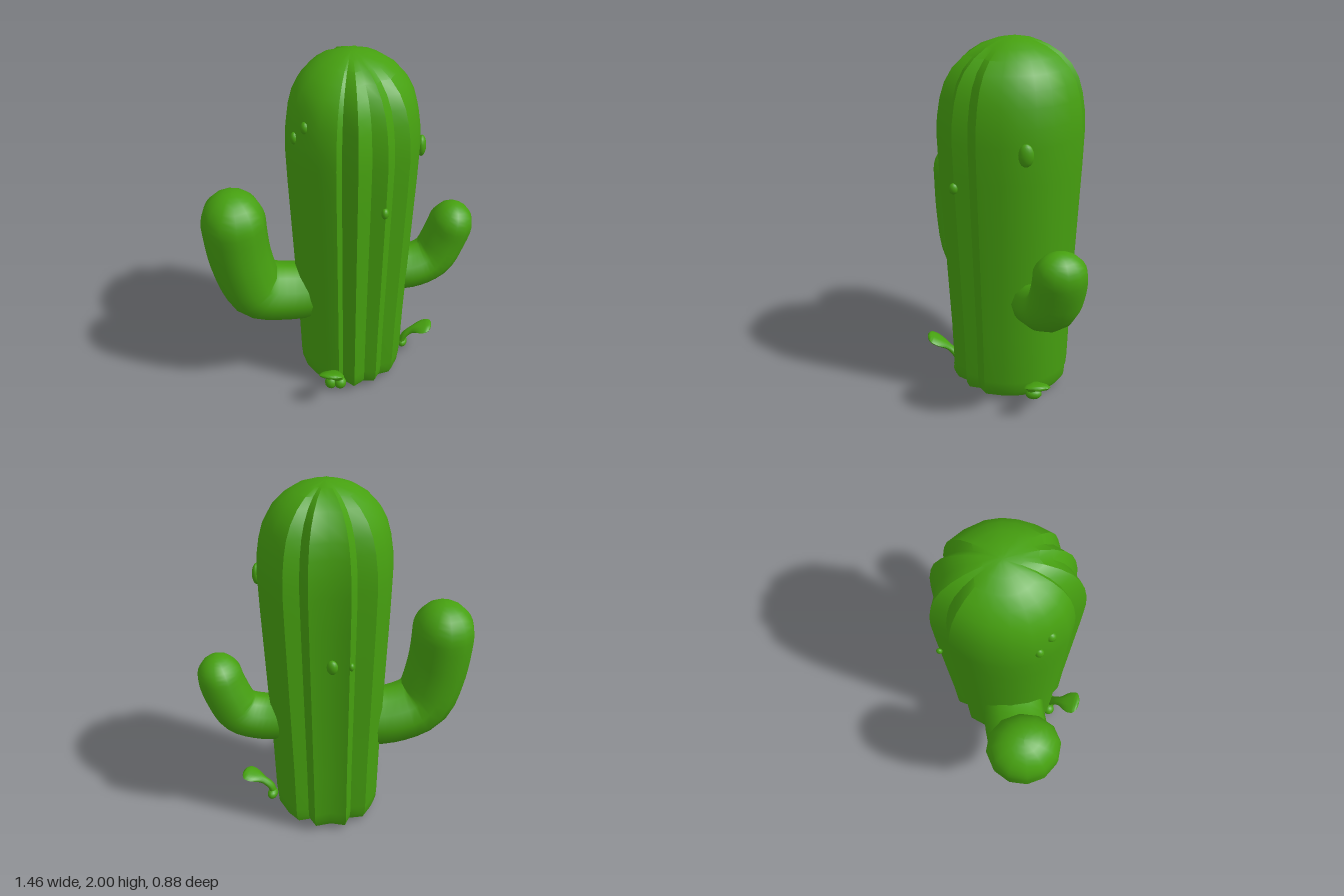
import * as THREE from 'three';
import { toCreasedNormals } from 'three/addons/utils/BufferGeometryUtils.js';

const V = (x, y, z) => new THREE.Vector3(x, y, z);

// Skin a stack of closed rings and close both ends
function loft(rings, crease) {
  const n = rings[0].length, last = rings.length - 1;
  const pos = [], index = [];
  rings.forEach(r => r.forEach(p => pos.push(p.x, p.y, p.z)));
  for (const r of [rings[0], rings[last]]) {
    const c = r.reduce((s, p) => s.add(p), V(0, 0, 0)).divideScalar(n);
    pos.push(c.x, c.y, c.z);
  }
  const bottom = n * (last + 1), top = bottom + 1;
  for (let j = 0; j < n; j++) {
    const k = (j + 1) % n;
    for (let i = 0; i < last; i++) {
      const a = i * n + j, b = i * n + k;
      index.push(a, b, a + n, b, b + n, a + n);
    }
    index.push(bottom, k, j, top, last * n + j, last * n + k);
  }
  const g = new THREE.BufferGeometry();
  g.setAttribute('position', new THREE.Float32BufferAttribute(pos, 3));
  g.setIndex(index);
  return toCreasedNormals(g, crease);
}

// Round-ended limb along a path; width(u) is sideways, depth(u) is in the plane of the bend
function limb(points, side, width, depth, tip, sides) {
  const curve = new THREE.CatmullRomCurve3(points.map(p => V(...p)));
  const start = 1 - tip / curve.getLength();
  const stations = [];
  for (let i = 0; i < 16; i++) stations.push([start * i / 16, 1]);
  for (let i = 0; i <= 8; i++) {
    const a = i / 8 * Math.PI / 2 * 0.98;
    stations.push([start + (1 - start) * Math.sin(a), Math.cos(a)]);
  }
  const s = V(...side).normalize();
  const rings = stations.map(([u, k]) => {
    const c = curve.getPointAt(u);
    const n = curve.getTangentAt(u).cross(s).normalize();
    return Array.from({ length: sides }, (_, j) => {
      const a = j / sides * Math.PI * 2;
      return c.clone().addScaledVector(s, Math.cos(a) * width(u) * k)
        .addScaledVector(n, Math.sin(a) * depth(u) * k);
    });
  });
  return loft(rings, 1.0);
}

export function createModel() {
  const model = new THREE.Group();
  model.name = 'cactus';
  const green = new THREE.MeshStandardMaterial({ color: 0x46a010 });
  green.name = 'cactusGreen';
  const add = (name, geometry) => {
    const m = new THREE.Mesh(geometry, green);
    m.name = name;
    model.add(m);
    return m;
  };

  // Trunk: ribbed outline (x, z) scaled up a domed profile (y, scale)
  const outline = [
    [.41, .03], [.415, -.06], [.4, -.16], [.36, -.25], [.28, -.34], [.18, -.41],
    [.105, -.37], [.04, -.44], [-.06, -.385], [-.165, -.38], [-.175, -.29],
    [-.27, -.25], [-.298, -.14], [-.305, -.04], [-.285, .08], [-.235, .18],
    [-.16, .255], [-.07, .31], [.025, .32], [.05, .295], [.14, .35], [.2, .28],
    [.28, .27], [.305, .19], [.38, .15]
  ];
  const profile = [
    [.03, .78], [.06, .82], [.12, .835], [.4, .86], [.7, .9], [1, .94], [1.3, .98],
    [1.5, 1], [1.6, .99], [1.7, .95], [1.78, .89], [1.85, .79], [1.91, .64],
    [1.955, .46], [1.985, .25], [1.998, .07]
  ];
  const cx = .045, cz = -.06;
  add('trunk', loft(profile.map(([y, s]) =>
    outline.map(([x, z]) => V(cx + (x - cx) * s, y, cz + (z - cz) * s))), 0.55));

  // Arms
  add('rightArm', limb(
    [[-.08, .57, .02], [-.3, .575, .1], [-.46, .64, .18], [-.525, .82, .205],
      [-.555, 1.05, .21], [-.56, 1.27, .21]],
    [.36, 0, .93], u => .175 + .03 * u, u => .165 + .015 * u, .19, 12));
  add('leftArm', limb(
    [[.22, .63, -.14], [.4, .63, -.19], [.51, .68, -.235], [.575, .81, -.26],
      [.61, .92, -.265], [.63, 1.03, -.265]],
    [.25, 0, .97], u => .145, u => .13 - .005 * u, .14, 12));

  // Sprouts at the foot: thin stem widening to a flat paddle
  const paddle = u => .028 + .042 * THREE.MathUtils.smoothstep(u, .45, .8);
  add('frontSprout', limb(
    [[.03, .04, .25], [.02, .12, .275], [.01, .18, .33], [.005, .245, .44]],
    [1, 0, 0], paddle, u => .018, .04, 10));
  add('leftSprout', limb(
    [[.36, .05, -.15], [.375, .11, -.155], [.43, .16, -.165], [.54, .2, -.17]],
    [0, 0, 1], paddle, u => .018, .04, 10));

  // Small buds: name, position, radii
  [
    ['sproutKnob', [-.02, .04, .255], [.036, .04, .036]],
    ['sproutKnob', [.035, .045, .255], [.036, .038, .036]],
    ['sproutKnob', [.365, .06, -.16], [.03, .03, .045]],
    ['sideBud', [.42, 1.47, -.1], [.025, .06, .04]],
    ['upperBud', [-.145, 1.69, .23], [.025, .034, .028]],
    ['upperBud', [-.21, 1.61, .19], [.022, .034, .026]],
    ['frontBud', [.27, 1.25, .265], [.02, .03, .025]],
    ['backBud', [-.07, 1.12, -.395], [.03, .04, .025]],
    ['backBud', [-.165, 1.12, -.365], [.015, .022, .018]]
  ].forEach(([name, p, r]) => {
    const bud = add(name, new THREE.SphereGeometry(1, 14, 10));
    bud.position.set(...p);
    bud.scale.set(...r);
  });

  return model;
}
